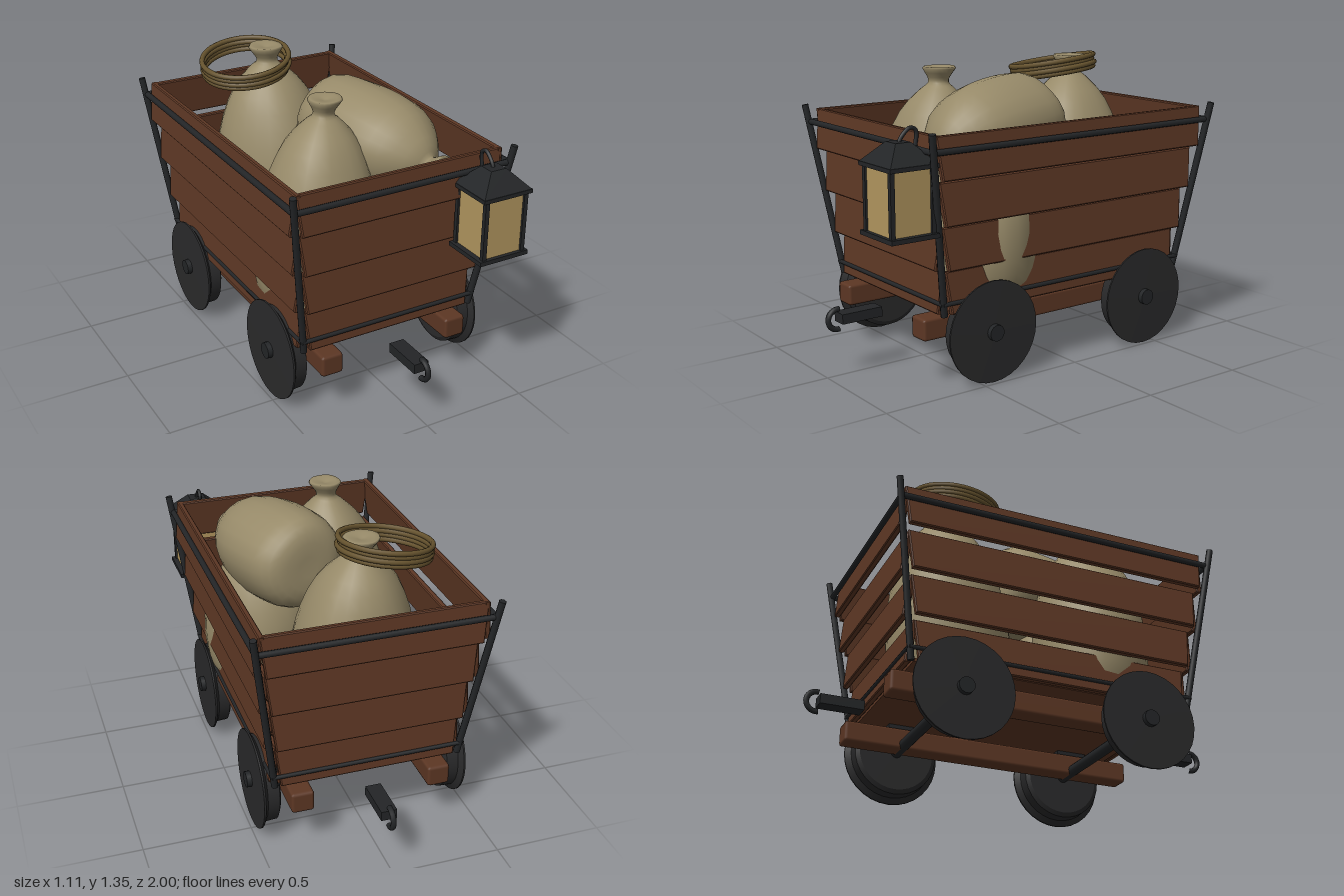
import * as THREE from 'three';
import { mergeVertices } from 'three/addons/utils/BufferGeometryUtils.js';
import { RoundedBoxGeometry } from 'three/addons/geometries/RoundedBoxGeometry.js';

const mat = (name, color) => {
  const m = new THREE.MeshStandardMaterial({ color });
  m.name = name;
  return m;
};

export function createModel() {
  const wood = mat('brown wood', 0x5d3724);
  const iron = mat('black iron', 0x232527);
  const wheelIron = mat('wheel iron', 0x2a2a2b);
  const sackcloth = mat('sackcloth', 0x978a69);
  const ropeFibre = mat('rope fibre', 0x66532e);
  const glass = mat('amber glass', 0xb2965f);

  const model = new THREE.Group();
  model.name = 'miningCart';

  const add = (name, geo, material, x = 0, y = 0, z = 0, parent = model) => {
    const m = new THREE.Mesh(geo, material);
    m.name = name;
    m.position.set(x, y, z);
    parent.add(m);
    return m;
  };
  const group = (name, parent = model) => {
    const g = new THREE.Group();
    g.name = name;
    parent.add(g);
    return g;
  };
  const box = (w, h, d) => new THREE.BoxGeometry(w, h, d);

  // Straight iron rod between two points
  const rod = (name, a, b, r, parent = model) => {
    const p = new THREE.Vector3(...a), q = new THREE.Vector3(...b);
    const m = add(name, new THREE.CylinderGeometry(r, r, p.distanceTo(q), 8), iron, 0, 0, 0, parent);
    m.position.copy(p).add(q).multiplyScalar(0.5);
    m.quaternion.setFromUnitVectors(new THREE.Vector3(0, 1, 0), q.sub(p).normalize());
    return m;
  };

  // Bevelled board, a little wider at the top; outer face at z = 0
  const plankGeo = (half, h, t) => {
    const b = 0.005;
    const s = new THREE.Shape();
    s.moveTo(-half + b, b);
    s.lineTo(half - b, b);
    s.lineTo(half + 0.02 - b, h - b);
    s.lineTo(-half - 0.02 + b, h - b);
    s.closePath();
    const g = new THREE.ExtrudeGeometry(s, {
      depth: t - 2 * b, bevelThickness: b, bevelSize: b, bevelSegments: 1,
    });
    return g.translate(0, 0, b - t);
  };

  // Four walls of overlapping boards, each tipped in at its top
  const walls = [
    ['frontWall', 0, 0.405, 0.026, 0.685],
    ['backWall', Math.PI, 0.405, 0.026, 0.685],
    ['leftWall', Math.PI / 2, 0.635, 0.03, 0.45],
    ['rightWall', -Math.PI / 2, 0.635, 0.03, 0.45],
  ];
  for (const [name, angle, half, grow, out] of walls) {
    const wall = group(name);
    wall.rotation.y = angle;
    for (let i = 0; i < 4; i++) {
      const board = add('wallBoard', plankGeo(half + grow * i, 0.189, 0.028), wood,
        0, 0.335 + 0.199 * i, out + 0.026 * i, wall);
      board.rotation.x = -0.11;
    }
  }
  add('floor', box(0.84, 0.016, 1.3), wood, 0, 0.34, 0);

  // Corner posts and the rails that tie them
  for (const sx of [-1, 1]) {
    for (const sz of [-1, 1]) {
      rod('cornerPost', [sx * 0.43, 0.33, sz * 0.665], [sx * 0.54, 1.135, sz * 0.785], 0.016);
    }
  }
  for (const [y, x, z, r] of [[0.385, 0.445, 0.68, 0.01], [1.055, 0.525, 0.768, 0.014]]) {
    for (const s of [-1, 1]) {
      rod('crossRail', [-x, y, s * z], [x, y, s * z], r);
      rod('sideRail', [s * x, y, -z], [s * x, y, z], r);
    }
  }

  // Chassis beams, bearing blocks and axles
  for (const s of [-1, 1]) {
    add('chassisBeam', new RoundedBoxGeometry(0.105, 0.1, 1.46, 1, 0.014), wood, s * 0.32, 0.26, 0);
    for (const z of [-0.44, 0.44]) {
      add('bearingBlock', box(0.06, 0.06, 0.15), iron, s * 0.32, 0.322, z);
    }
  }
  for (const z of [-0.44, 0.44]) {
    const axle = add('axle', new THREE.CylinderGeometry(0.027, 0.027, 0.9, 12), iron, 0, 0.232, z);
    axle.rotation.z = Math.PI / 2;
  }

  // Wheels: thick tread with a thin flange on the outer face
  const wheelGeo = new THREE.LatheGeometry([
    [0, 0.39], [0.18, 0.39], [0.18, 0.39], [0.2, 0.4], [0.2, 0.4], [0.203, 0.455], [0.203, 0.455],
    [0.23, 0.472], [0.23, 0.472], [0.23, 0.48], [0.23, 0.48], [0, 0.482],
  ].map(([r, y]) => new THREE.Vector2(r, y)), 32);
  const hubGeo = new THREE.CylinderGeometry(0.037, 0.037, 0.06, 14).translate(0, 0.475, 0);
  for (const s of [-1, 1]) {
    for (const z of [-0.44, 0.44]) {
      const wheel = group('wheel');
      wheel.position.set(0, 0.23, z);
      wheel.rotation.z = -s * Math.PI / 2;
      add('wheelDisc', wheelGeo, wheelIron, 0, 0, 0, wheel);
      add('wheelHub', hubGeo, iron, 0, 0, 0, wheel);
    }
  }

  // Coupling bar and open hook at each end
  for (const angle of [0, Math.PI]) {
    const coupling = group('coupling');
    coupling.rotation.y = angle;
    add('couplingBar', box(0.072, 0.045, 0.2), iron, 0, 0.265, 0.835, coupling);
    const arc = new THREE.TorusGeometry(0.046, 0.013, 8, 16, Math.PI * 1.1);
    arc.rotateZ(-Math.PI * 0.55).rotateY(-Math.PI / 2);
    add('couplingHook', arc, iron, 0, 0.26, 0.941, coupling);
  }

  // Lantern hanging on the front left corner
  const lantern = group('lantern');
  lantern.position.set(0.385, 0, 0.848);
  add('lanternGlass', box(0.2, 0.28, 0.195), glass, 0, 0.855, 0, lantern);
  add('lanternBase', box(0.25, 0.02, 0.23), iron, 0, 0.71, 0, lantern);
  add('lanternEave', box(0.25, 0.018, 0.23), iron, 0, 1.0, 0, lantern);
  for (const sx of [-1, 1]) {
    for (const sz of [-1, 1]) {
      add('lanternPost', box(0.02, 0.28, 0.02), iron, sx * 0.1, 0.855, sz * 0.097, lantern);
    }
  }
  const roofGeo = new THREE.CylinderGeometry(0.055, 0.175, 0.085, 4).toNonIndexed();
  roofGeo.computeVertexNormals();
  roofGeo.rotateY(Math.PI / 4).scale(1, 1, 0.92);
  add('lanternRoof', roofGeo, iron, 0, 1.05, 0, lantern);
  const hangerPath = new THREE.CatmullRomCurve3([
    [0, 1.08, 0], [0, 1.11, -0.015], [0, 1.145, -0.06], [0, 1.13, -0.085], [0, 1.06, -0.08],
  ].map((p) => new THREE.Vector3(...p)));
  add('lanternHanger', new THREE.TubeGeometry(hangerPath, 16, 0.009, 6), iron, 0, 0, 0, lantern);

  // Tied sack: turned profile, gently lumpy, leaning towards its neck
  const sackGeo = (profile, seed, leanX = 0, leanZ = 0) => {
    const raw = new THREE.LatheGeometry(
      new THREE.SplineCurve(profile.map(([r, y]) => new THREE.Vector2(r, y))).getPoints(28)
        .map((p) => new THREE.Vector2(Math.max(p.x, 0), p.y)), 24);
    raw.deleteAttribute('uv');
    raw.deleteAttribute('normal');
    const pos = raw.attributes.position;
    for (let i = 0; i < pos.count; i++) {
      const x = pos.getX(i), y = pos.getY(i), z = pos.getZ(i);
      const a = Math.atan2(z, x);
      const k = 1 + 0.025 * Math.sin(3 * a + seed + 5 * y) + 0.015 * Math.sin(5 * a - seed);
      pos.setXYZ(i, x * k + leanX * y * y, y, z * k + leanZ * y * y);
    }
    const g = mergeVertices(raw, 1e-4);
    g.computeVertexNormals();
    return g;
  };
  const standing = [[0, 0], [0.19, 0], [0.25, 0.07], [0.272, 0.22], [0.268, 0.42], [0.235, 0.6],
    [0.17, 0.76], [0.09, 0.855], [0.05, 0.89], [0.052, 0.92], [0.078, 0.965], [0.04, 0.965], [0, 0.955]];
  const lying = [[0, 0], [0.14, 0], [0.215, 0.06], [0.238, 0.2], [0.236, 0.38], [0.2, 0.53],
    [0.11, 0.64], [0.05, 0.675], [0.05, 0.7], [0.075, 0.745], [0.04, 0.745], [0, 0.735]];

  const backSack = add('backSack', sackGeo(standing, 1, -0.03, -0.05), sackcloth, -0.02, 0.35, -0.355);
  backSack.scale.set(1.06, 1.02, 1.06);
  add('frontRightSack', sackGeo(standing, 3, 0.06, -0.01), sackcloth, -0.18, 0.35, 0.315);
  const lowSack = add('frontLeftSack', sackGeo(standing, 5), sackcloth, 0.205, 0.35, 0.31);
  lowSack.scale.y = 0.78;
  const topSack = add('lyingSack', sackGeo(lying, 2), sackcloth, 0.085, 1.07, -0.09);
  topSack.quaternion.setFromUnitVectors(new THREE.Vector3(0, 1, 0),
    new THREE.Vector3(0.18, -0.06, 0.71).normalize());

  // Coil of rope looped over the back sack's neck
  const coil = group('ropeCoil');
  coil.position.set(-0.165, 1.272, -0.39);
  coil.rotation.set(0.1, 0, 0.13);
  for (let i = 0; i < 4; i++) {
    const loop = add('ropeLoop', new THREE.TorusGeometry(0.2 + 0.006 * (i % 2), 0.0125, 8, 40), ropeFibre,
      0.004 * (i % 2), (i - 1.5) * 0.019, 0, coil);
    loop.rotation.x = Math.PI / 2;
  }

  return model;
}
